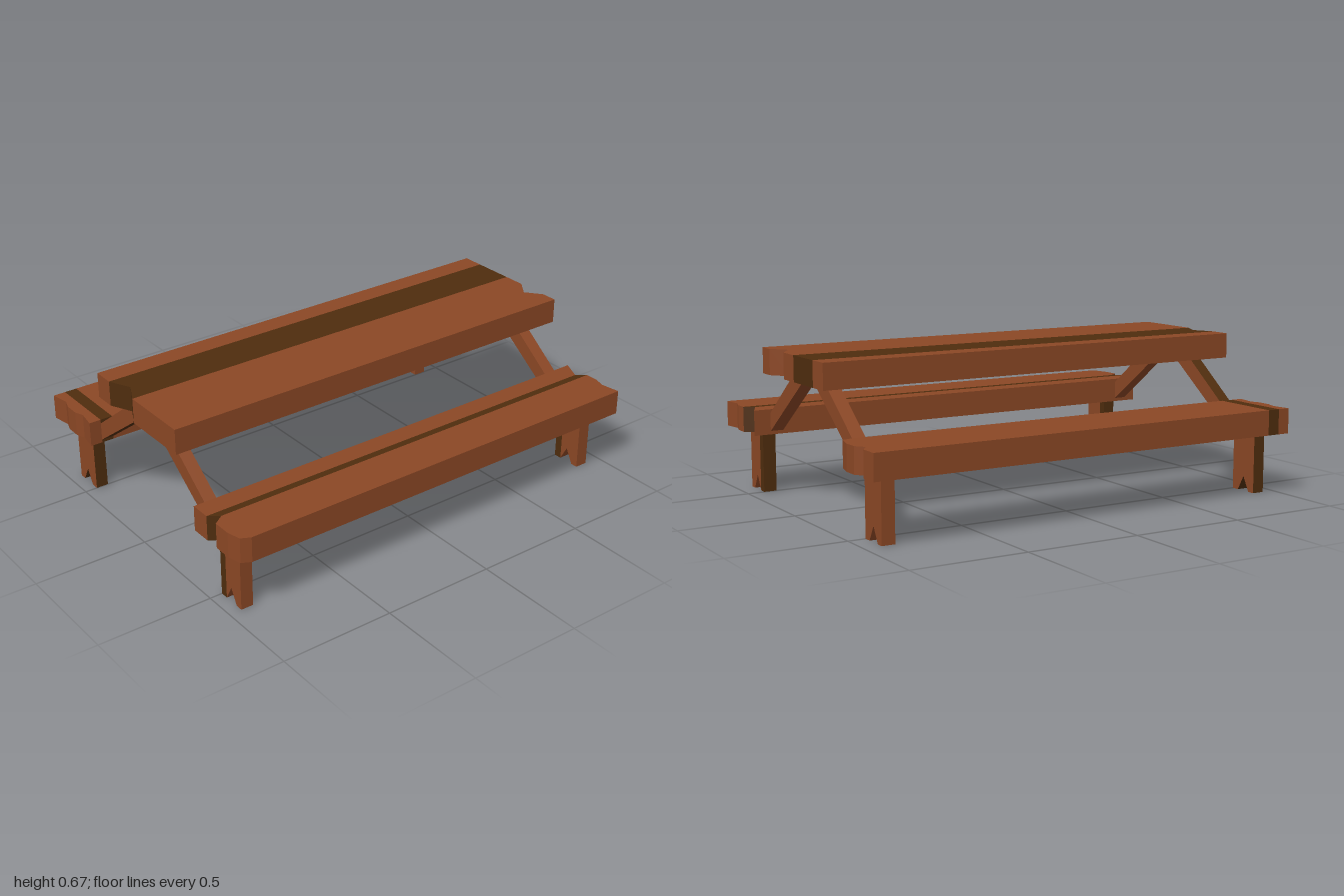
import * as THREE from 'three';

export function createModel() {
  const table = new THREE.Group();
  table.name = 'picnicTable';
  const brown = new THREE.MeshStandardMaterial({ color: 0x8b4725 });
  brown.name = 'warm brown wood';
  const dark = new THREE.MeshStandardMaterial({ color: 0x4f2d0e });
  dark.name = 'dark wood';

  const outline = (points) => new THREE.Shape(points.map(([a, b]) => new THREE.Vector2(a, -b)));
  const add = (parent, name, geometry, material) => {
    const mesh = new THREE.Mesh(geometry, material);
    mesh.name = name;
    parent.add(mesh);
  };
  const group = (name) => {
    const g = new THREE.Group();
    g.name = name;
    table.add(g);
    return g;
  };

  // Flat board from an [x, z] outline, between two heights
  const board = (parent, name, points, y0, y1, material) => {
    const g = new THREE.ExtrudeGeometry(outline(points), { depth: y1 - y0, bevelEnabled: false });
    g.rotateX(-Math.PI / 2).translate(0, y0, 0);
    add(parent, name, g, material);
  };

  // Upright piece from a [z, y] profile, between two x positions
  const upright = (parent, name, points, x0, x1, material) => {
    const shape = new THREE.Shape(points.map(([z, y]) => new THREE.Vector2(-z, y)));
    const g = new THREE.ExtrudeGeometry(shape, { depth: x1 - x0, bevelEnabled: false });
    g.rotateY(Math.PI / 2).translate(x0, 0, 0);
    add(parent, name, g, material);
  };

  // Table top: three long strips with chipped ends
  const top = group('tableTop');
  const topY = [0.555, 0.665];
  board(top, 'topBackStrip', [[-1, -0.3], [1, -0.3], [1, -0.205], [-1, -0.205]], ...topY, brown);
  board(top, 'topDarkStrip', [[-1, -0.205], [1, -0.205], [1, -0.02], [-1, -0.02], [-0.955, -0.11]], ...topY, dark);
  board(top, 'topFrontStrip', [[-1, -0.02], [1, -0.02], [1, 0.08], [0.945, 0.155], [1, 0.225],
    [1, 0.297], [-1, 0.297]], ...topY, brown);

  // Front bench: a narrow dark strip runs along it
  const benchY = [0.27, 0.38];
  const front = group('frontBench');
  board(front, 'frontBenchInner', [[-1, 0.41], [1, 0.41], [0.957, 0.5], [-1, 0.5]], ...benchY, brown);
  board(front, 'frontBenchDarkStrip', [[-1, 0.5], [0.957, 0.5], [1, 0.532], [-0.953, 0.532]], ...benchY, dark);
  board(front, 'frontBenchOuter', [[-0.953, 0.532], [1, 0.532], [1, 0.59], [0.985, 0.64], [0.998, 0.725],
    [-0.945, 0.725], [-0.985, 0.705], [-1, 0.645], [-1, 0.565]], ...benchY, brown);

  // Back bench: a dark band crosses it near one end
  const back = group('backBench');
  const [b0, b1] = [-0.945, -0.89];
  board(back, 'backBenchEnd', [[-1, -0.728], [b0, -0.728], [b0, -0.413], [-0.998, -0.413],
    [-0.985, -0.495], [-1, -0.535], [-1, -0.6], [-0.985, -0.645]], ...benchY, brown);
  board(back, 'backBenchDarkBand', [[b0, -0.728], [b1, -0.728], [b1, -0.413], [b0, -0.413]], ...benchY, dark);
  board(back, 'backBenchMain', [[b1, -0.728], [1, -0.728], [1, -0.645], [0.97, -0.605], [1, -0.565],
    [1, -0.5], [0.98, -0.425], [0.93, -0.413], [b1, -0.413]], ...benchY, brown);

  // Legs with a V notch in the foot, and sloping struts up to the table top
  const legMain = [[0.637, 0], [0.605, 0], [0.57, 0.065], [0.535, 0], [0.535, 0.27], [0.637, 0.27]];
  const legInner = [[0.535, 0], [0.5, 0], [0.5, 0.27], [0.535, 0.27]];
  const legWhole = [[0.637, 0], [0.605, 0], [0.57, 0.065], [0.535, 0], [0.5, 0], [0.5, 0.27], [0.637, 0.27]];
  const strut = [[0.413, 0.283], [0.413, 0.362], [0.16, 0.556], [0.055, 0.556], [0.055, 0.545]];
  const flip = (points) => points.map(([z, y]) => [-z, y]);

  for (const [side, x0, x1] of [['Left', 0.867, 0.925], ['Right', b0, b1]]) {
    const frontFrame = group('front' + side + 'Support');
    upright(frontFrame, 'legOuter', legMain, x0, x1, brown);
    upright(frontFrame, 'legDarkEdge', legInner, x0, x1, dark);
    upright(frontFrame, 'strut', strut, x0, x1, brown);

    // The dark band carries down the edges of one back support
    const backFrame = group('back' + side + 'Support');
    const material = side === 'Right' ? [brown, dark] : brown;
    upright(backFrame, 'leg', flip(legWhole), x0, x1, material);
    upright(backFrame, 'strut', flip(strut), x0, x1, material);
  }
  return table;
}
